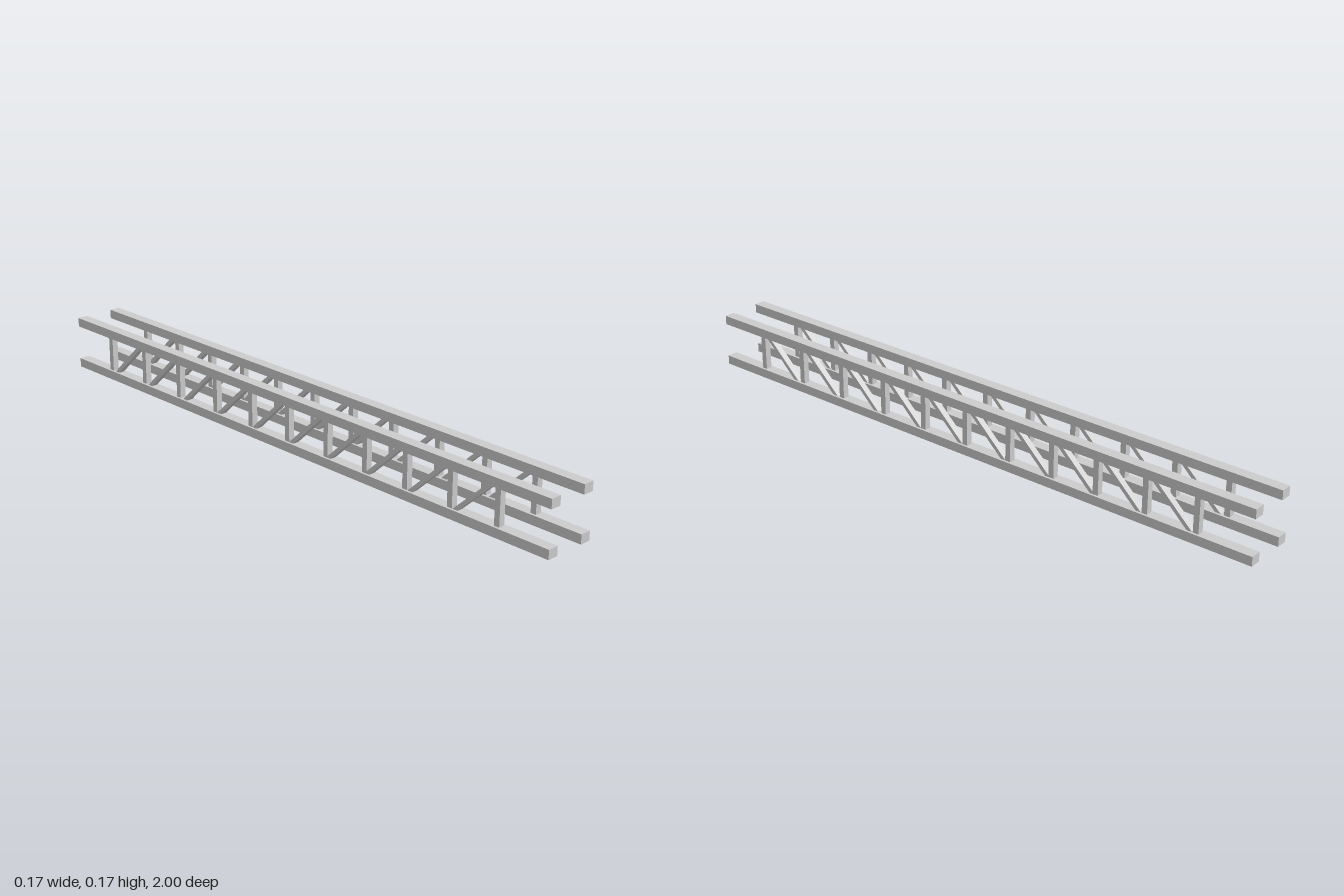
import * as THREE from 'three';

const CHORD_W = 0.035, CHORD_H = 0.029, HEIGHT = 0.17;
const WEB_W = 0.02, WEB_T = 0.018;
const OFFSET_X = 0.066;
const LOW = CHORD_H, HIGH = HEIGHT - CHORD_H;

// Post positions along one truss; the other uses them reversed
const POSTS = [0.834, 0.66, 0.487, 0.31, 0.147, -0.016, -0.178, -0.335, -0.49, -0.655, -0.82];

const material = new THREE.MeshStandardMaterial({ color: 0xcccccc, flatShading: true });

function add(parent, name, geometry, y = 0, z = 0) {
  const mesh = new THREE.Mesh(geometry, material);
  mesh.name = name;
  mesh.position.set(0, y, z);
  parent.add(mesh);
}

// Slanted brace with ends cut flush to the chords, top towards +z
function braceGeometry() {
  const h = WEB_T / 2, top = -0.026, bottom = -0.145;
  const shape = new THREE.Shape([
    new THREE.Vector2(bottom - h, LOW),
    new THREE.Vector2(bottom + h, LOW),
    new THREE.Vector2(top + h, HIGH),
    new THREE.Vector2(top - h, HIGH),
  ]);
  const geometry = new THREE.ExtrudeGeometry(shape, { depth: WEB_W, bevelEnabled: false });
  geometry.translate(0, 0, -WEB_W / 2);
  geometry.rotateY(-Math.PI / 2);
  return geometry;
}

function createTruss(name, x, posts) {
  const truss = new THREE.Group();
  truss.name = name;
  truss.position.x = x;

  // Long square chords
  const chord = new THREE.BoxGeometry(CHORD_W, CHORD_H, 2);
  add(truss, 'bottomChord', chord, CHORD_H / 2);
  add(truss, 'topChord', chord, HEIGHT - CHORD_H / 2);

  // Upright posts with one brace in each bay
  const post = new THREE.BoxGeometry(WEB_W, HIGH - LOW, WEB_T);
  const brace = braceGeometry();
  posts.forEach((z, i) => {
    add(truss, 'post', post, HEIGHT / 2, z);
    if (i < posts.length - 1) add(truss, 'diagonalBrace', brace, 0, z);
  });
  return truss;
}

export function createModel() {
  const model = new THREE.Group();
  model.name = 'twinTruss';
  model.add(createTruss('leftTruss', OFFSET_X, POSTS));
  model.add(createTruss('rightTruss', -OFFSET_X, POSTS.map((z) => -z).reverse()));
  return model;
}
